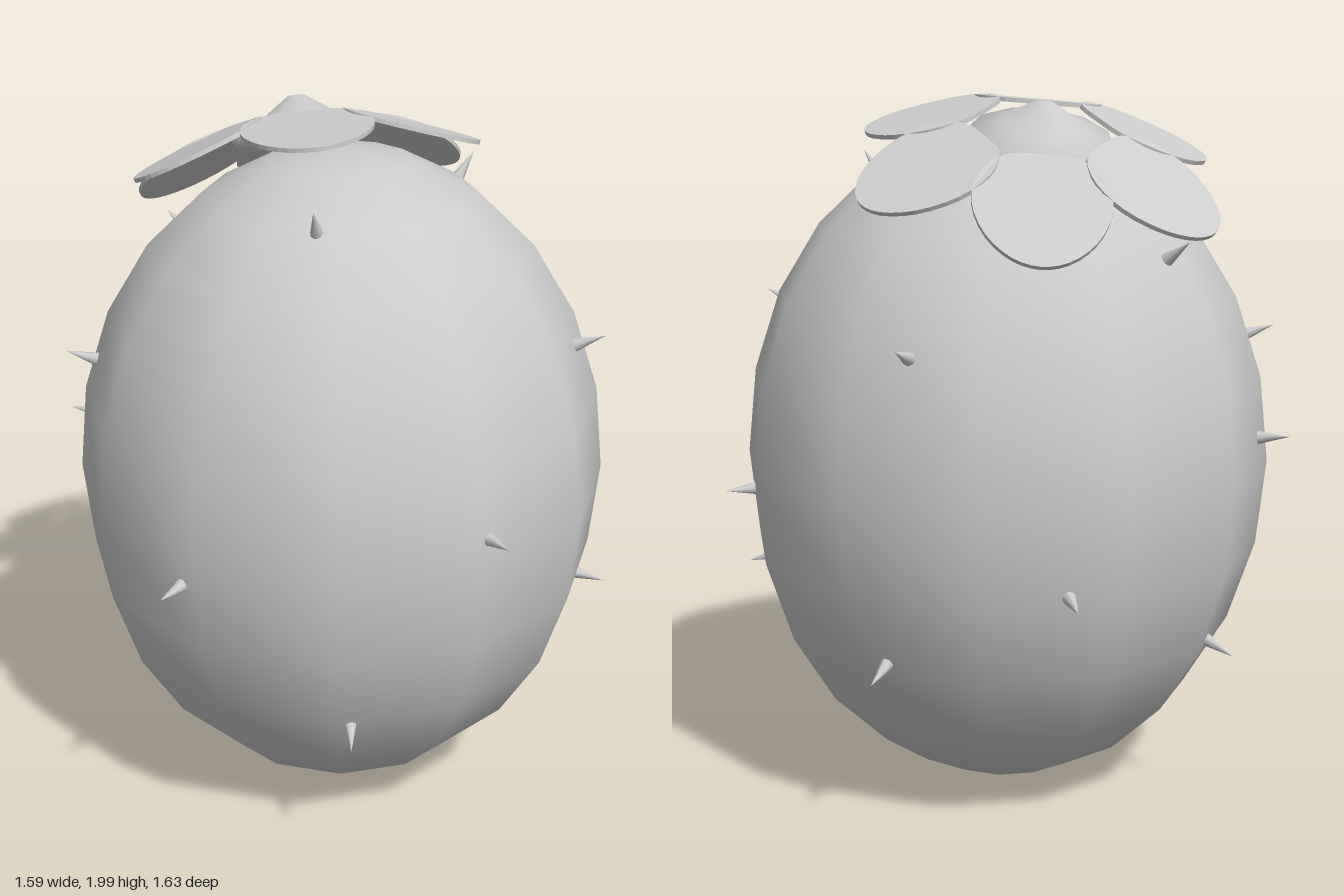
import * as THREE from 'three';

const grey = new THREE.MeshStandardMaterial({ color: 0xcccccc });
const UP = new THREE.Vector3(0, 1, 0);
const CENTRE = new THREE.Vector3(-0.04, 0.95, -0.03);
const RADII = new THREE.Vector3(0.76, 0.95, 0.76);

function add(parent, name, geometry) {
  const mesh = new THREE.Mesh(geometry, grey);
  mesh.name = name;
  parent.add(mesh);
  return mesh;
}

// Thin cone standing on the body, along the surface normal nearest to (x, y, z)
function addSpine(parent, [x, y, z]) {
  const dir = new THREE.Vector3(x, y, z).sub(CENTRE).divide(RADII).normalize();
  const normal = dir.clone().divide(RADII).normalize();
  const geometry = new THREE.ConeGeometry(0.019, 0.09, 8);
  geometry.translate(0, 0.03, 0);
  const spine = add(parent, 'spine', geometry);
  spine.position.copy(dir).multiply(RADII).add(CENTRE);
  spine.quaternion.setFromUnitVectors(UP, normal);
}

// Egg-shaped thin petal lying flat, its inner end at the origin, growing along +x
function petalGeometry() {
  const outline = [
    [0, 0], [0.01, 0.1], [0.08, 0.165], [0.18, 0.18], [0.29, 0.14], [0.36, 0.07],
    [0.38, 0], [0.36, -0.07], [0.29, -0.14], [0.18, -0.18], [0.08, -0.165], [0.01, -0.1],
  ].map(([x, y]) => new THREE.Vector3(x, y, 0));
  const curve = new THREE.CatmullRomCurve3(outline, true);
  const shape = new THREE.Shape(curve.getPoints(36).slice(0, -1).map((p) => new THREE.Vector2(p.x, p.y)));
  const geometry = new THREE.ExtrudeGeometry(shape, { depth: 0.012, bevelEnabled: false });
  return geometry.rotateX(-Math.PI / 2);
}

export function createModel() {
  const model = new THREE.Group();
  model.name = 'spinyFruit';

  // Egg-like body
  const body = add(model, 'body', new THREE.SphereGeometry(1, 12, 12));
  body.scale.copy(RADII);
  body.position.copy(CENTRE);

  // Spines scattered round the body
  const spines = new THREE.Group();
  spines.name = 'spines';
  model.add(spines);
  [
    [-0.02, 1.03, 0.74], [0.72, 0.92, 0], [0.46, 1.38, 0.42], [0.56, 0.61, 0.37], [-0.34, 0.46, 0.55],
    [-0.73, 0.88, 0.31], [-0.28, 1.79, 0.27], [0.34, 1.8, 0], [0.45, 1.34, -0.5], [0.11, 0.73, -0.75],
    [0.5, 0.5, -0.43], [-0.28, 1.57, -0.55], [-0.68, 1.31, -0.32], [-0.59, 1.05, -0.53], [-0.42, 0.49, -0.57],
  ].forEach((p) => addSpine(spines, p));

  // Flower leaning back on the crown
  const flower = new THREE.Group();
  flower.name = 'flower';
  flower.position.set(-0.015, 1.88, -0.31);
  flower.rotation.set(-0.37, 0, -0.07);
  model.add(flower);

  // Pointed heart with a rounded underside
  const profile = [[0, -0.1], [0.1, -0.08], [0.18, -0.04], [0.2, 0], [0.11, 0.04], [0.025, 0.098], [0, 0.1]];
  add(flower, 'flowerHeart', new THREE.LatheGeometry(profile.map(([x, y]) => new THREE.Vector2(x, y)), 12));

  // Ring of six drooping petals
  const petal = petalGeometry();
  for (let i = 0; i < 6; i++) {
    const arm = new THREE.Group();
    arm.name = 'petalArm';
    arm.rotation.y = 0.12 - (i * Math.PI) / 3;
    flower.add(arm);
    const blade = add(arm, 'petal', petal);
    blade.position.set(0.175, 0.02, 0);
    blade.rotation.z = -0.38;
  }
  return model;
}
